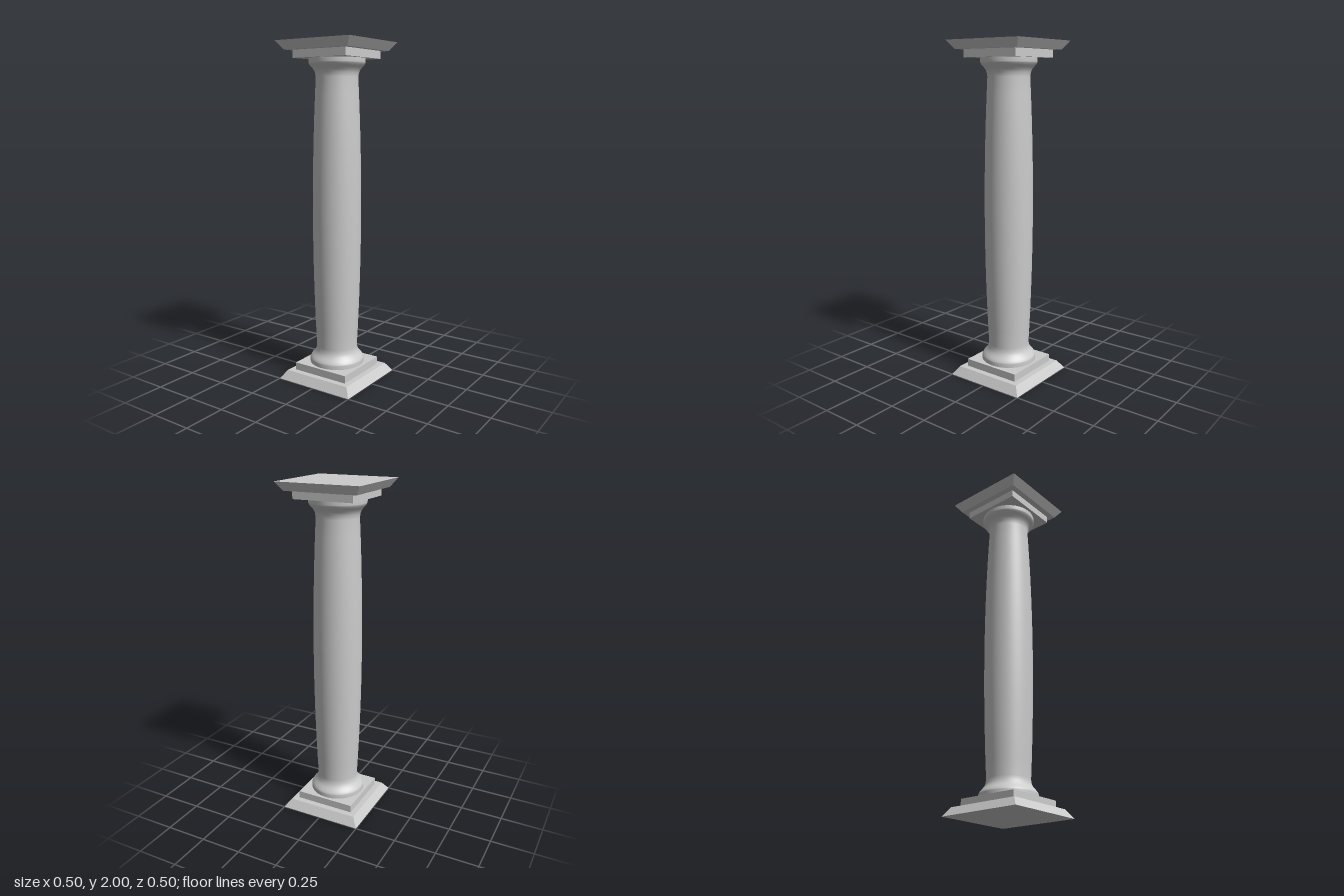
import * as THREE from 'three';

const stone = new THREE.MeshStandardMaterial({ color: 0xcccccc });
const flatStone = new THREE.MeshStandardMaterial({ color: 0xcccccc, flatShading: true });

function addMesh(parent, name, geometry, y, material) {
  const mesh = new THREE.Mesh(geometry, material);
  mesh.name = name;
  mesh.position.y = y;
  parent.add(mesh);
}

// Square slab with bevelled sides, given half widths at bottom and top
function squareSlab(bottom, top, height) {
  const geometry = new THREE.CylinderGeometry(top * Math.SQRT2, bottom * Math.SQRT2, height, 4);
  return geometry.rotateY(Math.PI / 4);
}

// Round shaft: rim, flared foot, gentle swelling, mirrored at the top
function shaftGeometry() {
  const foot = [
    [0.163, 0.095], [0.163, 0.118], [0.161, 0.124], [0.155, 0.134],
    [0.145, 0.145], [0.134, 0.158], [0.126, 0.175], [0.122, 0.2],
  ];
  const profile = foot.map(([r, y]) => new THREE.Vector2(r, y));
  const steps = 16;
  for (let i = 1; i < steps; i++) {
    const t = (i / steps) * 2 - 1;
    profile.push(new THREE.Vector2(0.122 + 0.021 * (1 - t * t), 1 + 0.8 * t));
  }
  for (const [r, y] of foot.slice().reverse()) profile.push(new THREE.Vector2(r, 2 - y));
  return new THREE.LatheGeometry(profile, 48);
}

export function createModel() {
  const column = new THREE.Group();
  column.name = 'column';

  // Stepped square base
  addMesh(column, 'basePlinth', squareSlab(0.25, 0.215, 0.05), 0.025, flatStone);
  addMesh(column, 'baseBlock', new THREE.BoxGeometry(0.36, 0.045, 0.36), 0.0725, flatStone);

  addMesh(column, 'shaft', shaftGeometry(), 0, stone);

  // Stepped square capital
  addMesh(column, 'capitalBlock', new THREE.BoxGeometry(0.36, 0.045, 0.36), 1.9275, flatStone);
  addMesh(column, 'capitalSlab', squareSlab(0.215, 0.25, 0.05), 1.975, flatStone);

  return column;
}
